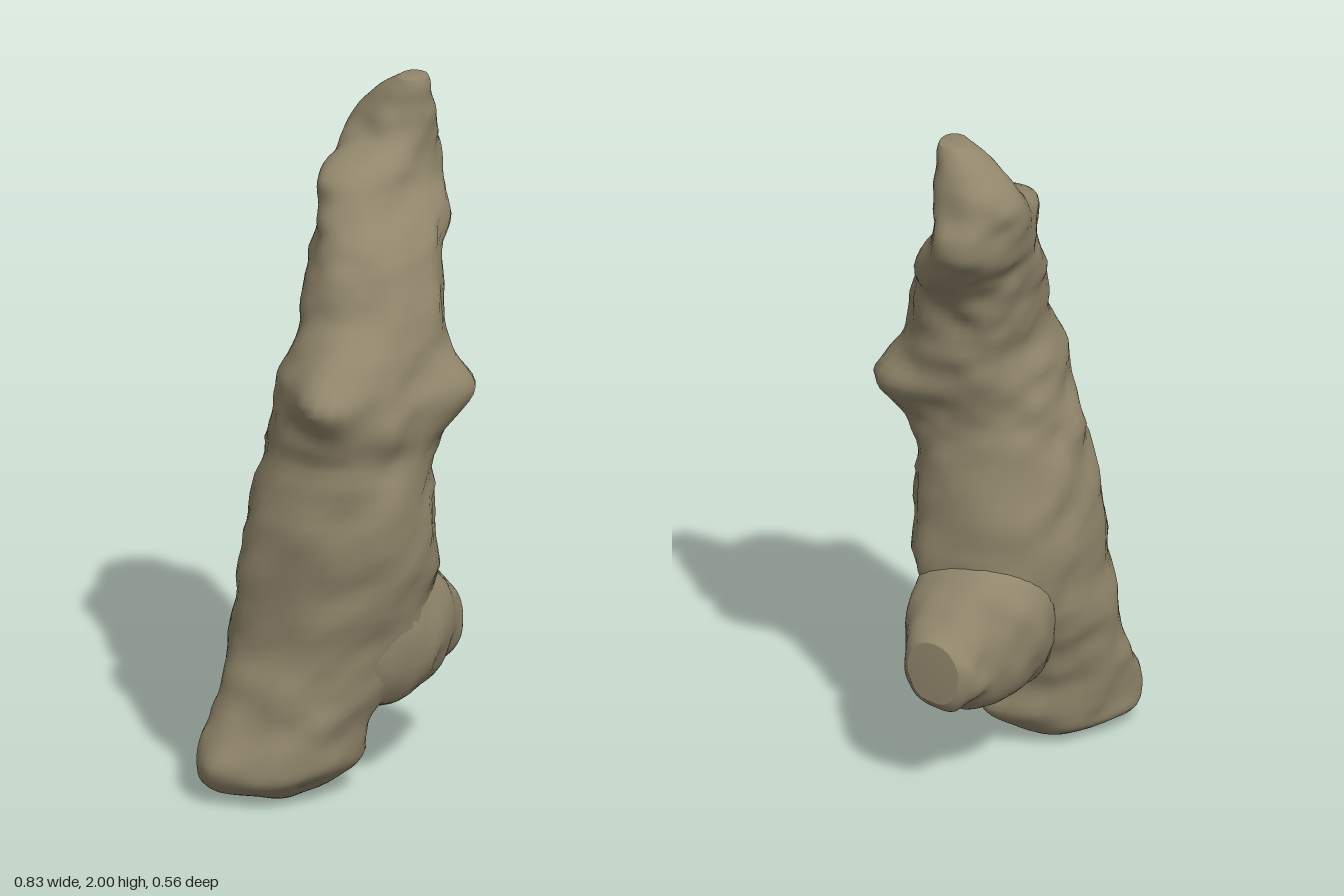
import * as THREE from 'three';

const SIDES = 40;

// Seeded value noise in -1..1 for the lumpy bark
function hash(i, j, k) {
  const h = Math.sin(i * 127.1 + j * 311.7 + k * 74.7) * 43758.5453;
  return (h - Math.floor(h)) * 2 - 1;
}
function noise(x, y, z) {
  const [i, j, k] = [x, y, z].map(Math.floor);
  const [u, v, w] = [x - i, y - j, z - k].map((t) => t * t * (3 - 2 * t));
  const mix = THREE.MathUtils.lerp;
  const edge = (b, c) => mix(hash(i, j + b, k + c), hash(i + 1, j + b, k + c), u);
  return mix(mix(edge(0, 0), edge(1, 0), v), mix(edge(0, 1), edge(1, 1), v), w);
}
function lump(p) {
  return 0.6 * noise(p.x * 9, p.y * 9, p.z * 9) + 0.5 * noise(p.x * 17 + 5, p.y * 17, p.z * 17);
}

// Catmull-Rom through the rows of a table
function sampleRow(rows, t) {
  const f = t * (rows.length - 1);
  const i = Math.min(Math.floor(f), rows.length - 2);
  const u = f - i;
  const at = (k) => rows[Math.max(0, Math.min(rows.length - 1, k))];
  return rows[0].map((_, c) => {
    const [a, b, d, e] = [at(i - 1)[c], at(i)[c], at(i + 1)[c], at(i + 2)[c]];
    return b + 0.5 * u * (d - a + u * (2 * a - 5 * b + 4 * d - e + u * (3 * (b - d) + e - a)));
  });
}

// Closed loft: each row is [along, pMin, pMax, qMin, qMax, slant]
function loft(rows, steps, place, roughness, bumps = []) {
  const pos = [], index = [];
  const soft = (v) => Math.sign(v) * Math.abs(v) ** 0.9;
  for (let j = 0; j <= steps; j++) {
    const [s, p0, p1, q0, q1, slant] = sampleRow(rows, j / steps);
    const cp = (p0 + p1) / 2, cq = (q0 + q1) / 2;
    const centre = place(s, cp, cq);
    for (let i = 0; i < SIDES; i++) {
      const a = (i / SIDES) * Math.PI * 2;
      const dp = soft(Math.cos(a)) * (p1 - p0) / 2;
      const dq = soft(Math.sin(a + slant)) * (q1 - q0) / 2;
      const v = place(s, cp + dp, cq + dq);
      const out = v.clone().sub(centre);
      let push = roughness * lump(v) * Math.min(1, out.length() / 0.12);
      for (const [x, y, z, size, height] of bumps) {
        push += height * Math.exp(-v.distanceToSquared(new THREE.Vector3(x, y, z)) / (size * size));
      }
      v.addScaledVector(out.normalize(), push);
      pos.push(v.x, v.y, v.z);
    }
  }
  for (let j = 0; j < steps; j++) {
    for (let i = 0; i < SIDES; i++) {
      const a = j * SIDES + i, b = j * SIDES + (i + 1) % SIDES;
      index.push(a, a + SIDES, b, b, a + SIDES, b + SIDES);
    }
  }
  // End caps
  for (const end of [0, 1]) {
    const [s, p0, p1, q0, q1] = rows[end * (rows.length - 1)];
    const c = place(s, (p0 + p1) / 2, (q0 + q1) / 2);
    const hub = pos.length / 3, o = end * steps * SIDES;
    pos.push(c.x, c.y, c.z);
    for (let i = 0; i < SIDES; i++) {
      const a = o + i, b = o + (i + 1) % SIDES;
      if (end) index.push(hub, b, a); else index.push(hub, a, b);
    }
  }
  const g = new THREE.BufferGeometry();
  g.setAttribute('position', new THREE.Float32BufferAttribute(pos, 3));
  g.setIndex(index);
  g.computeVertexNormals();
  return g;
}

export function createModel() {
  const group = new THREE.Group();
  group.name = 'trunk';
  const bark = new THREE.MeshStandardMaterial({ color: 0x92876c });
  bark.name = 'bark';

  // Main trunk, foot to tip: [y, xMin, xMax, zMin, zMax, slant]
  const trunkRows = [
    [0.00, -0.26, -0.15, -0.16, -0.07, 0.4],
    [0.04, -0.38, -0.08, -0.26, 0.00, 0.5],
    [0.10, -0.41, -0.02, -0.28, 0.07, 0.55],
    [0.20, -0.38, -0.01, -0.28, 0.08, 0.5],
    [0.30, -0.34, 0.05, -0.28, 0.12, 0.45],
    [0.42, -0.31, 0.14, -0.28, 0.15, 0.4],
    [0.60, -0.30, 0.20, -0.27, 0.19, 0.28],
    [0.80, -0.30, 0.19, -0.26, 0.22, 0.12],
    [1.00, -0.27, 0.17, -0.22, 0.21, 0.05],
    [1.10, -0.27, 0.17, -0.20, 0.23, 0],
    [1.20, -0.27, 0.20, -0.18, 0.23, 0],
    [1.30, -0.23, 0.22, -0.15, 0.21, 0],
    [1.40, -0.16, 0.24, -0.16, 0.19, 0],
    [1.50, -0.13, 0.27, -0.17, 0.16, 0],
    [1.60, -0.08, 0.34, -0.18, 0.12, 0],
    [1.69, -0.04, 0.40, -0.20, 0.05, 0],
    [1.76, 0.00, 0.41, -0.21, 0.03, 0],
    [1.83, 0.14, 0.38, -0.21, 0.02, 0],
    [1.90, 0.18, 0.36, -0.18, 0.02, 0],
    [1.96, 0.20, 0.33, -0.12, 0.02, 0],
    [2.00, 0.22, 0.30, -0.06, 0.01, 0],
  ];
  // Knots on the trunk: [x, y, z, size, height]
  const knots = [
    [-0.25, 1.21, 0.10, 0.08, 0.08],
    [0.15, 1.15, 0.22, 0.11, 0.13],
    [-0.10, 0.70, 0.22, 0.09, 0.02],
  ];
  const trunk = new THREE.Mesh(
    loft(trunkRows, 100, (y, x, z) => new THREE.Vector3(x, y, z), 0.022, knots), bark);
  trunk.name = 'mainTrunk';

  // Broken side stub: [x, zMin, zMax, yMin, yMax, slant]
  const stubRows = [
    [-0.16, -0.14, 0.07, 0.28, 0.55, 0],
    [-0.07, -0.19, 0.14, 0.23, 0.66, 0],
    [0.05, -0.22, 0.17, 0.21, 0.72, 0],
    [0.18, -0.20, 0.15, 0.23, 0.66, 0],
    [0.27, -0.15, 0.12, 0.26, 0.58, 0],
    [0.34, -0.12, 0.09, 0.28, 0.51, 0],
    [0.37, -0.09, 0.06, 0.31, 0.49, 0],
  ];
  const stub = new THREE.Mesh(
    loft(stubRows, 36, (x, z, y) => new THREE.Vector3(x, y, z), 0.02), bark);
  stub.name = 'sideStub';

  group.add(trunk, stub);
  return group;
}
